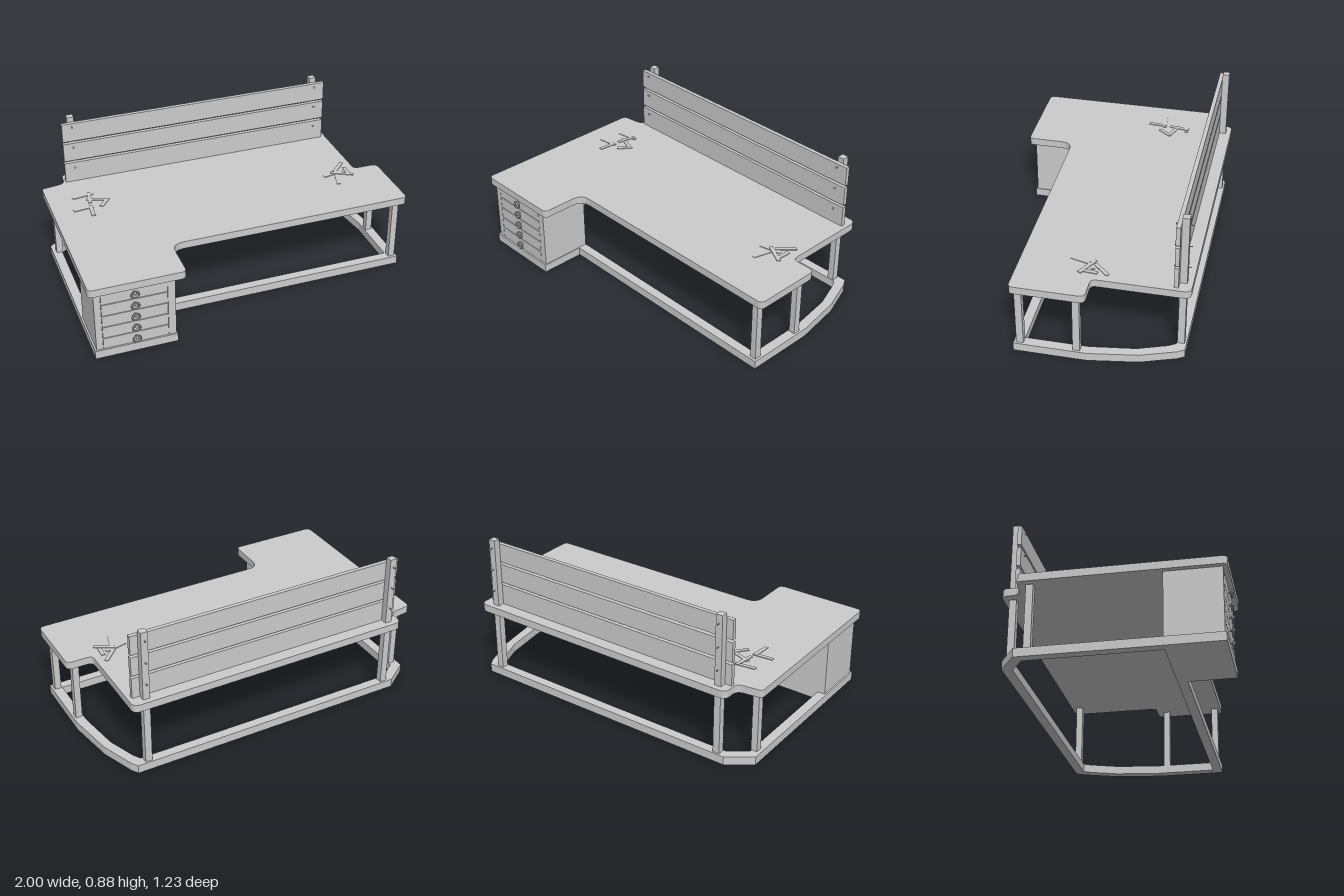
import * as THREE from 'three';

const mat = new THREE.MeshStandardMaterial({ color: 0xcccccc, flatShading: true });

function add(parent, name, geo, x = 0, y = 0, z = 0) {
  const m = new THREE.Mesh(geo, mat);
  m.name = name;
  m.position.set(x, y, z);
  parent.add(m);
  return m;
}

// Box given by its min/max limits on each axis
function box(parent, name, [x0, x1], [y0, y1], [z0, z1]) {
  return add(parent, name, new THREE.BoxGeometry(x1 - x0, y1 - y0, z1 - z0),
    (x0 + x1) / 2, (y0 + y1) / 2, (z0 + z1) / 2);
}

// Closed outline of [x, z, cornerRadius] points with rounded corners
function outline(pts, Type = THREE.Shape) {
  const s = new Type();
  const n = pts.length;
  pts.forEach(([x, z, r = 0], i) => {
    const p = new THREE.Vector2(x, z);
    const toward = (q) => new THREE.Vector2(q[0], q[1]).sub(p).setLength(r).add(p);
    const a = toward(pts[(i + n - 1) % n]);
    const b = toward(pts[(i + 1) % n]);
    if (i === 0) s.moveTo(a.x, a.y);
    else s.lineTo(a.x, a.y);
    if (r) s.quadraticCurveTo(x, z, b.x, b.y);
  });
  s.closePath();
  return s;
}

// Horizontal slab extruded from an x/z outline
function slab(parent, name, shape, y0, y1) {
  const geo = new THREE.ExtrudeGeometry(shape, { depth: y1 - y0, bevelEnabled: false, curveSegments: 4 });
  geo.rotateX(Math.PI / 2);
  return add(parent, name, geo, 0, y1, 0);
}

export function createModel() {
  const desk = new THREE.Group();
  desk.name = 'workbench';

  // Worktop with rounded corners and notched back corners
  slab(desk, 'worktop', outline([
    [-1, -0.49, 0.02], [-0.855, -0.51, 0.04], [-0.855, -0.615, 0.04], [0.85, -0.615, 0.04],
    [0.85, -0.08, 0.03], [1, -0.08, 0.035], [1, 0.335, 0.03], [-0.455, 0.335, 0.07],
    [-0.455, 0.61, 0.03], [-1, 0.61, 0.03],
  ]), 0.42, 0.465);

  // Floor frame: open ring of rails plus the solid foot under the drawers
  const base = outline([
    [-0.98, -0.495], [-0.84, -0.595], [0.83, -0.595], [0.855, -0.555], [0.925, -0.36],
    [0.97, -0.08], [0.97, 0.33], [-0.51, 0.33], [-0.51, 0.595], [-0.98, 0.595],
  ]);
  base.holes.push(outline([
    [-0.925, -0.465], [-0.82, -0.54], [0.79, -0.54], [0.815, -0.5], [0.875, -0.335],
    [0.912, -0.08], [0.912, 0.275], [-0.925, 0.275],
  ], THREE.Path));
  slab(desk, 'floorFrame', base, 0, 0.05);

  // Legs
  for (const [x, z] of [[0.938, 0.295], [0.938, -0.02], [-0.94, -0.43]]) {
    box(desk, 'leg', [x - 0.019, x + 0.019], [0.05, 0.42], [z - 0.02, z + 0.02]);
  }

  // Back posts rise through the worktop and carry the boards
  const boards = [[0.465, 0.59], [0.605, 0.72], [0.735, 0.85]];
  const postX = [-0.785, 0.76];
  for (const x of postX) {
    box(desk, 'backPost', [x - 0.02, x + 0.02], [0.05, 0.88], [-0.584, -0.544]);
  }
  boards.forEach((b) => box(desk, 'backBoard', [-0.845, 0.825], b, [-0.544, -0.52]));

  // Bolts through boards and posts
  for (const x of postX) {
    for (const y of [0.56, 0.695, 0.83]) {
      const shank = add(desk, 'boltShank', new THREE.CylinderGeometry(0.003, 0.003, 0.09, 6), x, y, -0.555);
      shank.rotation.x = Math.PI / 2;
      const head = add(desk, 'boltHead', new THREE.CylinderGeometry(0.007, 0.004, 0.006, 8), x, y, -0.512);
      head.rotation.x = Math.PI / 2;
    }
  }

  // Drawer cabinet
  const cabinet = new THREE.Group();
  cabinet.name = 'drawerCabinet';
  desk.add(cabinet);
  box(cabinet, 'carcass', [-0.97, -0.515], [0.05, 0.42], [0.275, 0.575]);
  box(cabinet, 'leftStile', [-0.97, -0.932], [0.05, 0.42], [0.575, 0.585]);
  box(cabinet, 'rightStile', [-0.558, -0.515], [0.05, 0.42], [0.575, 0.585]);
  for (let i = 0; i < 5; i++) {
    const y = 0.082 + i * 0.0735;
    box(cabinet, 'drawerFront', [-0.93, -0.56], [y - 0.0345, y + 0.0345], [0.575, 0.585]);

    // Ring pull on a short stem
    const pull = new THREE.Group();
    pull.name = 'ringPull';
    pull.position.set(-0.745, y, 0.585);
    cabinet.add(pull);
    add(pull, 'ring', new THREE.TorusGeometry(0.021, 0.005, 6, 14), 0, 0, 0.018);
    const stem = add(pull, 'stem', new THREE.CylinderGeometry(0.006, 0.008, 0.026, 8), 0, 0.009, 0.013);
    stem.rotation.x = Math.PI / 2;
    add(pull, 'stemKnob', new THREE.SphereGeometry(0.01, 8, 6), 0, 0.009, 0.02);
  }

  // Thin strips lying in two scattered piles: [x, z, length, turn]
  const strips = [
    [-0.79, -0.33, 0.13, 0.15], [-0.72, -0.26, 0.13, -0.35], [-0.76, -0.29, 0.12, 1.4],
    [-0.82, -0.19, 0.12, 0.1], [-0.78, -0.15, 0.11, 1.5], [-0.69, -0.21, 0.09, 0.9],
    [0.70, -0.06, 0.13, 0.2], [0.76, -0.12, 0.12, 0.8], [0.75, -0.04, 0.14, -0.5],
    [0.70, 0.01, 0.11, 1.3], [0.79, -0.06, 0.09, 1.5],
  ];
  strips.forEach(([x, z, len, turn], i) => {
    const strip = add(desk, 'looseStrip', new THREE.BoxGeometry(len, 0.004, 0.022), x, 0.467 + (i % 3) * 0.002, z);
    strip.rotation.y = turn;
  });

  return desk;
}
